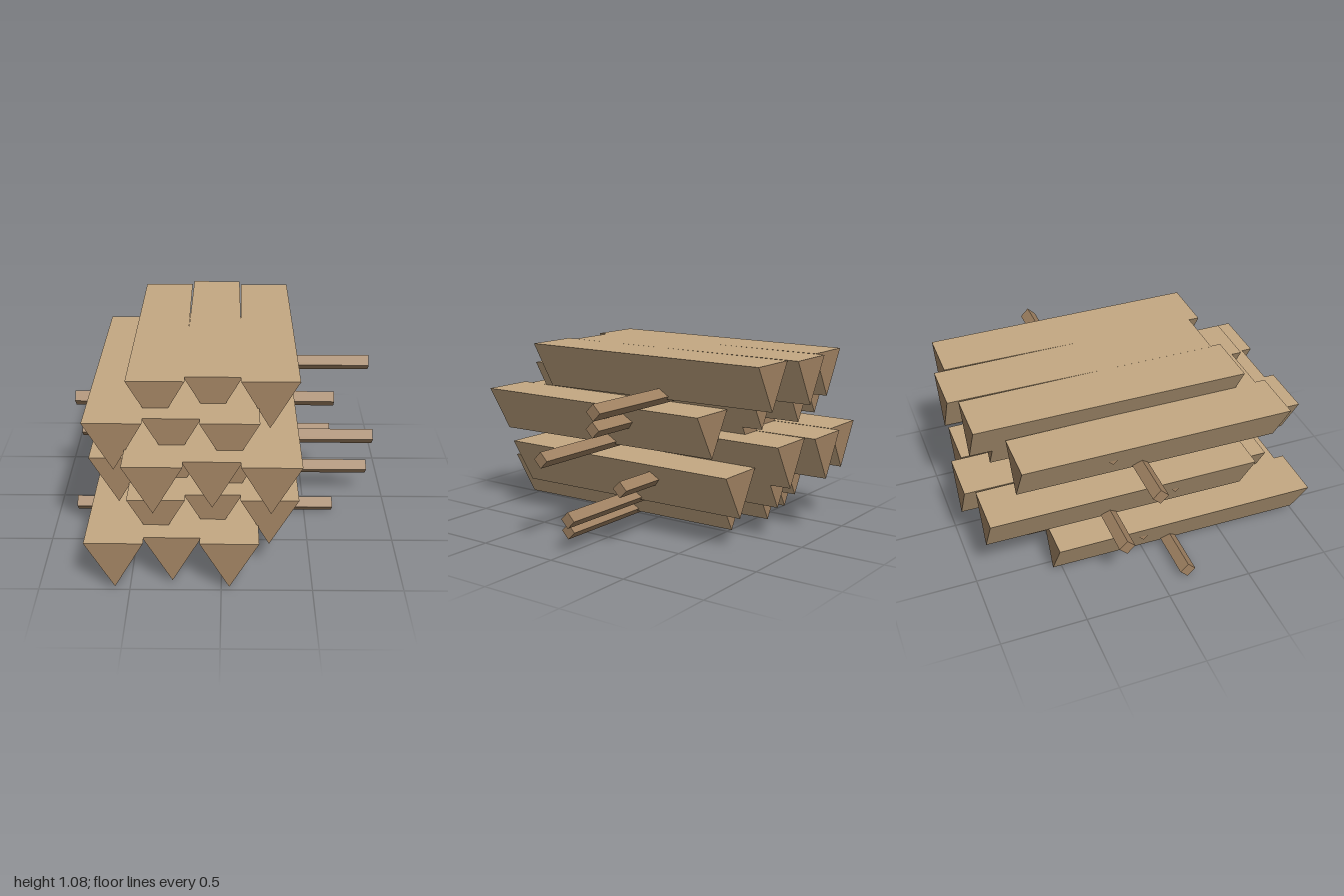
import * as THREE from 'three';

const LAYERS = 6;
const LENGTH = 1.56;      // beams and rods share one length
const STEP_Y = 0.156;     // height between layers
const SPACING = 0.312;    // distance between neighbouring beams

export function createModel() {
  const model = new THREE.Group();
  model.name = 'stackedBeams';

  const paleWood = new THREE.MeshStandardMaterial({ color: 0xc4a882, flatShading: true });
  paleWood.name = 'paleWood';
  const endGrain = new THREE.MeshStandardMaterial({ color: 0xa08262, flatShading: true });
  endGrain.name = 'endGrain';

  // Triangular beam, point down, slightly thinner at the back
  const beamGeo = new THREE.CylinderGeometry(0.1848, 0.1745, LENGTH, 3);
  beamGeo.rotateX(Math.PI / 2);

  // Square rod standing on its edge, running along x
  const rodGeo = new THREE.CylinderGeometry(0.047, 0.047, LENGTH, 4);
  rodGeo.rotateZ(Math.PI / 2);

  for (let i = 0; i < LAYERS; i++) {
    const layer = new THREE.Group();
    layer.name = `layer${i + 1}`;
    // Layers alternate sideways and step back in a cycle of three
    layer.position.set(i % 2 ? 0.11 : -0.11, i * STEP_Y, 0.22 - (i % 3) * 0.19);

    // Three beams, the middle one set back
    for (let j = -1; j <= 1; j++) {
      const beam = new THREE.Mesh(beamGeo, [paleWood, endGrain, endGrain]);
      beam.name = 'beam';
      beam.position.set(-0.158 + j * SPACING, 0.206, j === 0 ? -0.06 : 0);
      layer.add(beam);
    }

    // Cross rod under the beams
    const rod = new THREE.Mesh(rodGeo, endGrain);
    rod.name = 'crossRod';
    rod.position.set(0, 0.047, -0.06);
    layer.add(rod);

    model.add(layer);
  }
  return model;
}
